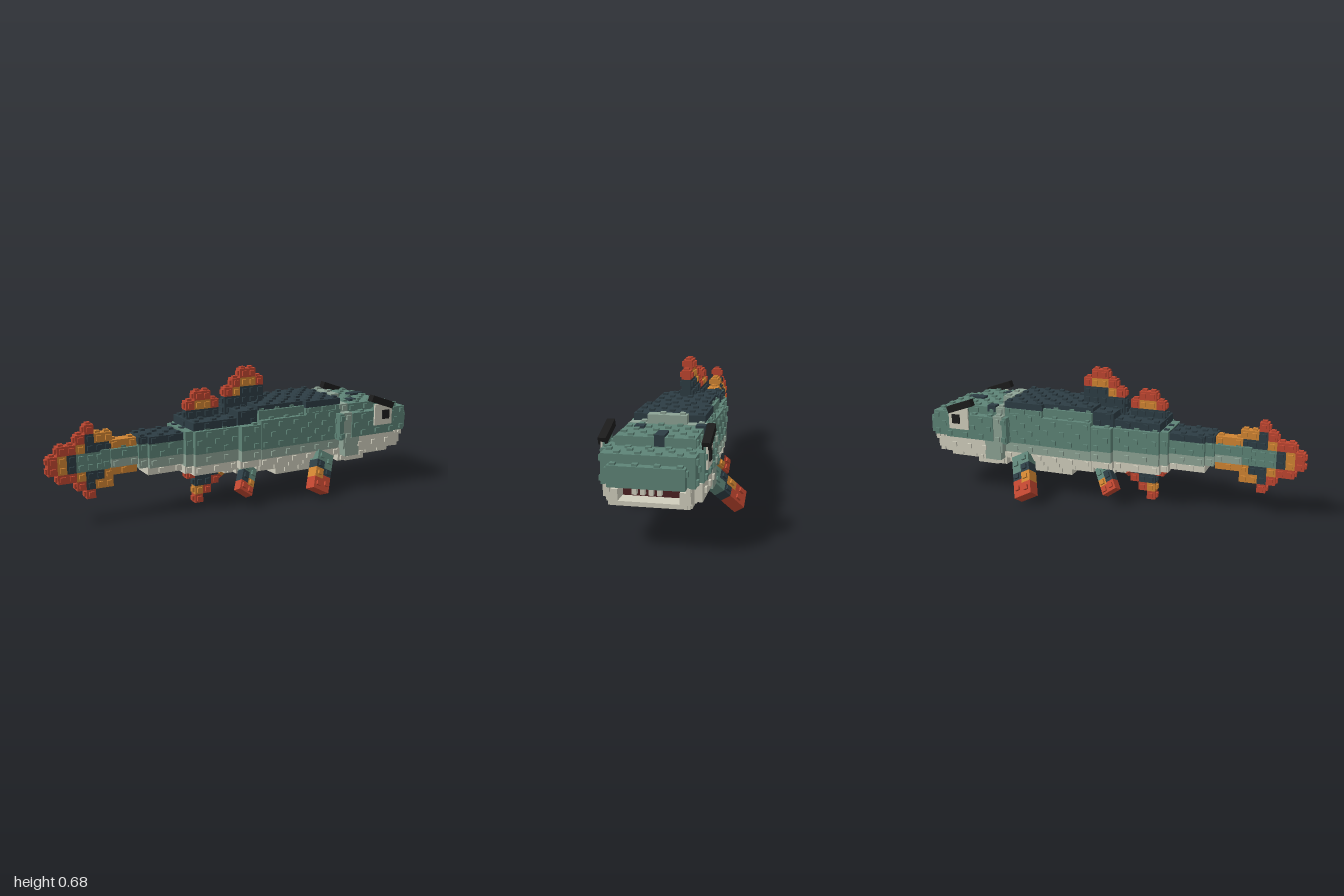
import * as THREE from 'three';
import { mergeGeometries } from 'three/addons/utils/BufferGeometryUtils.js';

const U = 0.045;     // brick pitch
const S = 0.024;     // stud width
const H = 0.01;      // stud height
const CZ = 0.03;     // centre plane of the body
const FIN_Z = 0.033; // centre plane of the upright fins

export function createModel() {
  const fish = new THREE.Group();
  fish.name = 'brickFish';
  const mat = (name, color) => Object.assign(new THREE.MeshStandardMaterial({ color }), { name });
  const M = {
    T: mat('teal', 0x5e8477), D: mat('darkSlate', 0x2d3d44), G: mat('sage', 0x8da395),
    C: mat('cream', 0xd0cebd), R: mat('red', 0xbf4630), O: mat('orange', 0xd08432),
    M: mat('maroon', 0x4c2022), K: mat('black', 0x1c1c1c),
  };

  const box = (x0, x1, y0, y1, z0, z1) =>
    new THREE.BoxGeometry(x1 - x0, y1 - y0, z1 - z0).translate((x0 + x1) / 2, (y0 + y1) / 2, (z0 + z1) / 2);
  const stud = (x, y, z, axis) => new THREE.BoxGeometry(
    axis === 'x' ? H * 2 : S, axis === 'y' ? H * 2 : S, axis === 'z' ? H * 2 : S).translate(x, y, z);
  const add = (name, key, geos, parent = fish) => {
    const mesh = new THREE.Mesh(mergeGeometries(geos), M[key]);
    mesh.name = name;
    parent.add(mesh);
    return mesh;
  };

  // Box with staggered studs on chosen faces: t = top, s = both sides
  function block(name, key, x0, x1, y0, y1, half, faces = 's') {
    const z0 = CZ - half, z1 = CZ + half;
    const geos = [box(x0, x1, y0, y1, z0, z1)];
    const cells = (a, b) => {
      const n = Math.max(1, Math.round((b - a) / U));
      return Array.from({ length: n }, (_, i) => a + (b - a) * (i + 0.5) / n);
    };
    const xs = cells(x0, x1);
    if (faces.includes('s')) cells(y0, y1).forEach((y, j) => xs.forEach((x, i) => {
      if ((i + j + Math.round(y0 / U)) % 2 === 0) geos.push(stud(x, y, z0, 'z'), stud(x, y, z1, 'z'));
    }));
    if (faces.includes('t')) cells(z0, z1).forEach((z, j) => xs.forEach((x, i) => {
      if ((i + j) % 2 === 0) geos.push(stud(x, y1, z, 'y'));
    }));
    add(name, key, geos);
  }

  // Body in stepped sections: [x0, x1, [[colour, y0, y1, half width, faces], ...]]
  const sections = [
    [0.54, 0.59, [['C', 0.165, 0.24, 0.17], ['G', 0.24, 0.435, 0.215, 'st'], ['G', 0.435, 0.475, 0.175, 'st'], ['G', 0.475, 0.515, 0.09, 't']]],
    [0.33, 0.545, [['D', 0.475, 0.508, 0.165, 't'], ['T', 0.45, 0.475, 0.168], ['T', 0.29, 0.45, 0.175], ['G', 0.24, 0.29, 0.175], ['C', 0.2, 0.24, 0.165], ['C', 0.165, 0.2, 0.13]]],
    [0.06, 0.33, [['D', 0.47, 0.508, 0.135, 't'], ['T', 0.44, 0.485, 0.15, 't'], ['T', 0.29, 0.44, 0.175, 'st'], ['G', 0.24, 0.29, 0.175], ['C', 0.2, 0.24, 0.165], ['C', 0.165, 0.2, 0.13]]],
    [-0.05, 0.06, [['D', 0.42, 0.49, 0.13, 'st'], ['T', 0.295, 0.42, 0.17, 'st'], ['G', 0.24, 0.295, 0.17], ['C', 0.2, 0.24, 0.155], ['C', 0.165, 0.2, 0.11]]],
    [-0.29, -0.05, [['D', 0.415, 0.455, 0.115, 'st'], ['T', 0.3, 0.415, 0.135, 'st'], ['G', 0.24, 0.3, 0.135], ['C', 0.19, 0.24, 0.12]]],
    [-0.33, -0.29, [['D', 0.375, 0.41, 0.085, 't'], ['T', 0.3, 0.415, 0.11], ['G', 0.24, 0.3, 0.11], ['C', 0.2, 0.24, 0.095]]],
    [-0.51, -0.33, [['D', 0.37, 0.405, 0.082, 'st'], ['T', 0.3, 0.37, 0.082, 'st'], ['G', 0.25, 0.3, 0.082], ['C', 0.21, 0.25, 0.06]]],
    [-0.555, -0.51, [['D', 0.37, 0.405, 0.06, 'st'], ['T', 0.3, 0.37, 0.06], ['G', 0.25, 0.3, 0.06]]],
    [-0.69, -0.555, [['O', 0.36, 0.4, 0.03, 'st'], ['T', 0.31, 0.36, 0.045, 'st'], ['G', 0.27, 0.31, 0.045], ['O', 0.23, 0.27, 0.03]]],
    [-0.735, -0.69, [['T', 0.27, 0.36, 0.035]]],
  ];
  const layerName = { T: 'flank', D: 'back', G: 'lowerFlank', C: 'belly', O: 'tailRidge' };
  for (const [x0, x1, layers] of sections)
    for (const [key, y0, y1, half, faces] of layers) block(layerName[key], key, x0, x1, y0, y1, half, faces);
  block('bellyKeel', 'C', 0.2, 0.5, 0.118, 0.165, 0.088);
  block('rearKeel', 'C', -0.1, 0.1, 0.165, 0.2, 0.08);

  // Head and snout, narrowing in steps
  block('head', 'T', 0.59, 0.87, 0.3, 0.43, 0.22, 'st');
  block('gillEdge', 'T', 0.515, 0.545, 0.29, 0.43, 0.215);
  block('crown', 'T', 0.59, 0.82, 0.43, 0.473, 0.175, 'st');
  block('muzzle', 'T', 0.87, 0.955, 0.3, 0.432, 0.2, 'st');
  block('snout', 'T', 0.955, 0.993, 0.3, 0.392, 0.165, 'st');
  for (const [x, z] of [[0.615, -0.13], [0.66, 0.135]])
    add('headSpot', 'D', [box(x - 0.022, x + 0.022, 0.45, 0.484, z - 0.022, z + 0.022)]);
  add('headSpot', 'D', [box(0.735, 0.824, 0.434, 0.484, -0.012, 0.033)]);

  // Mouth, jaw and teeth
  block('mouth', 'M', 0.6, 0.86, 0.22, 0.3, 0.165, '');
  block('palate', 'M', 0.86, 0.95, 0.292, 0.3, 0.16, '');
  block('jawFloor', 'C', 0.59, 0.71, 0.16, 0.225, 0.17);
  block('jawFloor', 'C', 0.71, 0.87, 0.185, 0.225, 0.17);
  block('jawTip', 'C', 0.87, 0.945, 0.207, 0.227, 0.165);
  for (const s of [1, -1]) {
    // Slab between two distances from the centre plane, on one side
    const slab = (x0, x1, y0, y1, a, b) =>
      box(x0, x1, y0, y1, CZ + Math.min(s * a, s * b), CZ + Math.max(s * a, s * b));
    const studded = (name, key, x0, x1, y0, y1, a, b) =>
      add(name, key, [slab(x0, x1, y0, y1, a, b),
        ...Array.from({ length: Math.floor((x1 - x0) / (2 * U)) }, (_, i) => stud(x0 + U * (2 * i + 1), (y0 + y1) / 2, CZ + s * b, 'z'))]);
    studded('jawRim', 'C', 0.6, 0.945, 0.225, 0.278, 0.132, 0.18);
    studded('jawCheek', 'C', 0.6, 0.88, 0.22, 0.3, 0.18, 0.215);
    studded('jawHinge', 'G', 0.55, 0.64, 0.2, 0.3, 0.17, 0.218);
    for (let i = 0; i < 3; i++) {
      const x = 0.885 + i * 0.028;
      add('sideTooth', 'C', [slab(x, x + 0.02, 0.268, 0.302, 0.162, 0.18)]);
    }
    // Eye plate with pupil, and a slanted brow
    add('eyeBacking', 'T', [slab(0.73, 0.845, 0.35, 0.465, 0.212, 0.222)]);
    add('eye', 'C', [slab(0.73, 0.845, 0.35, 0.465, 0.222, 0.231)]);
    add('pupil', 'K', [slab(0.778, 0.822, 0.382, 0.43, 0.231, 0.239)]);
    const brow = add('eyebrow', 'K', [box(-0.075, 0.075, -0.018, 0.018, -0.018, 0.018)]);
    brow.position.set(0.775, 0.476, CZ + s * 0.223);
    brow.rotation.z = -0.34;
  }
  for (let i = 0; i < 4; i++) {
    const z = 0.085 - i * 0.0355;
    add('frontTooth', 'C', [box(0.94, 0.965, 0.265, 0.302, z - 0.01, z + 0.01)]);
  }

  // Upright fins drawn as rows of single bricks
  function brickFin(name, x0, top, rows) {
    const fin = new THREE.Group();
    fin.name = name;
    const filled = (r, c) => (rows[r]?.[c] ?? '.') !== '.';
    const byKey = {};
    rows.forEach((row, r) => [...row].forEach((key, c) => {
      if (key === '.') return;
      const x = x0 + c * U, y = top - (r + 1) * U, mx = x + U / 2, my = y + U / 2;
      const g = (byKey[key] ||= []);
      g.push(box(x, x + U, y, y + U, FIN_Z - U / 2, FIN_Z + U / 2));
      g.push(stud(mx, my, FIN_Z - U / 2, 'z'), stud(mx, my, FIN_Z + U / 2, 'z'));
      if (!filled(r - 1, c)) g.push(stud(mx, y + U, FIN_Z, 'y'));
      if (!filled(r, c - 1)) g.push(stud(x, my, FIN_Z, 'x'));
    }));
    for (const key in byKey) add(name + 'Bricks', key, byKey[key], fin);
    fish.add(fin);
  }
  brickFin('tailFin', -0.99, 0.487, ['....R..', '...RDOO', '.RRODDD', 'RODTTTT', 'RODTTTT', '.RRODDO', '...RDOO', '....R..']);
  brickFin('frontDorsalFin', -0.07, 0.683, ['..RR.', '.ROOR', 'RODDD', 'DDDDD', 'DDDDD']);
  brickFin('rearDorsalFin', -0.285, 0.59, ['.RR.', 'ROOR', 'DDDD', 'DDDD']);
  brickFin('analFin', -0.285, 0.193, ['RDDD', '.DDR', '.OR.', '.R..']);

  // Slanted paired fins: a front and a rear column, each banded from root to tip
  function paddle(name, root, tip, width, thick, columns) {
    const a = new THREE.Vector3(...root), yAxis = a.clone().sub(new THREE.Vector3(...tip));
    const len = yAxis.length();
    yAxis.normalize();
    const zAxis = new THREE.Vector3(0, 0, 1).addScaledVector(yAxis, -yAxis.z).normalize();
    const xAxis = new THREE.Vector3().crossVectors(yAxis, zAxis);
    const fin = new THREE.Group();
    fin.name = name;
    fin.setRotationFromMatrix(new THREE.Matrix4().makeBasis(xAxis, yAxis, zAxis));
    fin.position.copy(a);
    columns.forEach((bands, i) => {
      const x0 = i === 0 ? 0 : -width / 2, x1 = x0 + width / 2;
      let y = 0;
      for (const [key, part] of bands) {
        const h = part * len, geos = [box(x0, x1, y - h, y, -thick / 2, thick / 2)];
        for (const s of [-1, 1]) geos.push(stud((x0 + x1) / 2, y - h / 2, s * thick / 2, 'z'));
        add(name + 'Band', key, geos, fin);
        y -= h;
      }
    });
    fish.add(fin);
  }
  const pectoral = [[['T', 0.42], ['D', 0.18], ['R', 0.4]], [['T', 0.25], ['D', 0.2], ['O', 0.25], ['R', 0.3]]];
  const pelvic = [[['T', 0.45], ['O', 0.25], ['R', 0.3]], [['T', 0.25], ['D', 0.4], ['R', 0.35]]];
  paddle('leftPectoralFin', [0.45, 0.215, 0.185], [0.36, 0.045, 0.272], 0.105, 0.06, pectoral);
  paddle('rightPectoralFin', [0.45, 0.215, -0.125], [0.365, 0.05, -0.275], 0.105, 0.06, pectoral);
  paddle('leftPelvicFin', [0.02, 0.19, 0.14], [-0.055, 0.085, 0.22], 0.085, 0.045, pelvic);
  paddle('rightPelvicFin', [0.02, 0.19, -0.06], [-0.055, 0.085, -0.14], 0.085, 0.045, pelvic);

  return fish;
}
